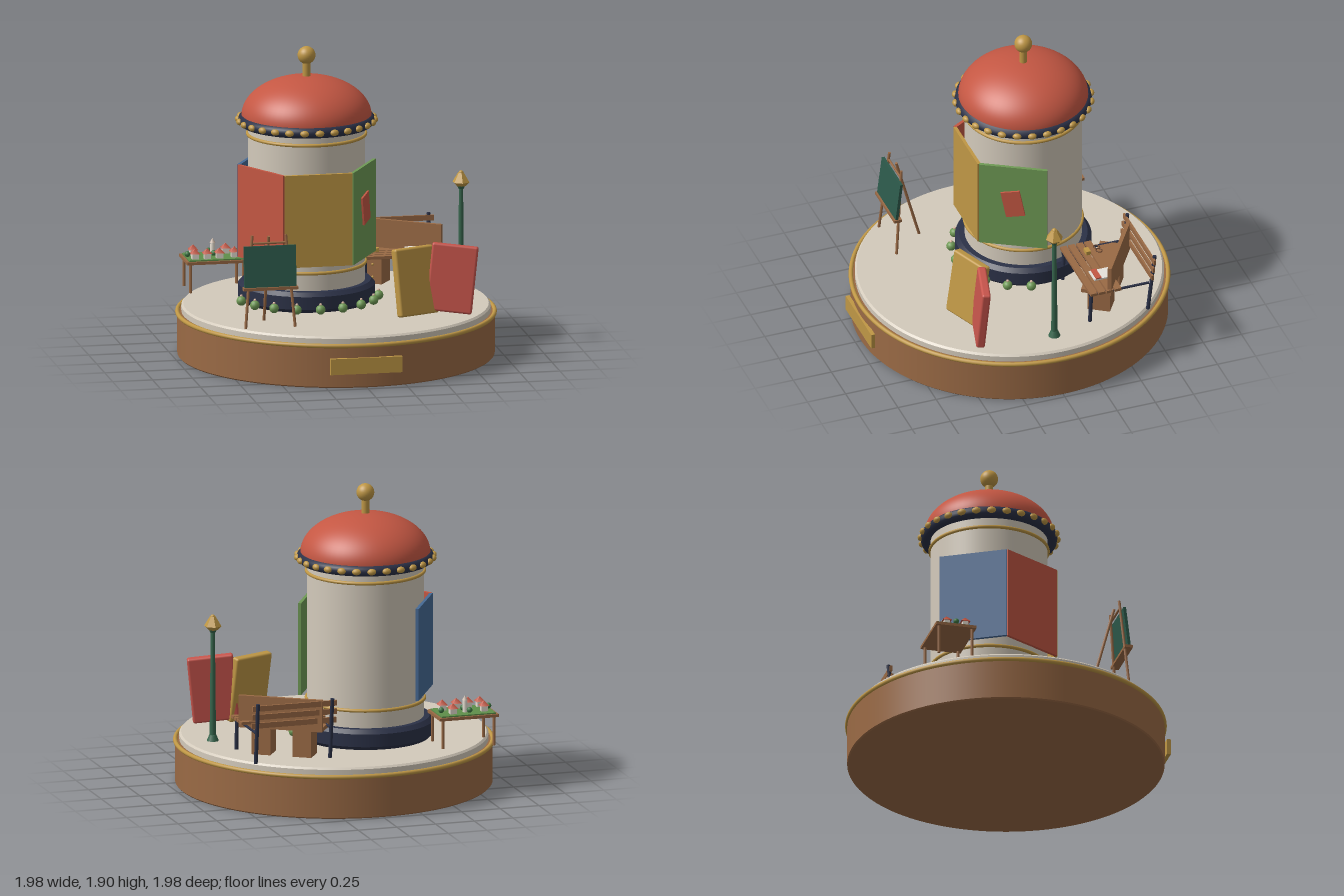
import * as THREE from 'three';
import { RoundedBoxGeometry } from 'three/addons/geometries/RoundedBoxGeometry.js';

const mats = {};
const mat = (c) => (mats[c] ??= new THREE.MeshStandardMaterial({ color: c }));
const WOOD = 0x9a6a45, CREAM = 0xd3cabb, GOLD = 0xbf9745, RED = 0xc45743, NAVY = 0x2b3147,
  GREEN = 0x6f9a55, POST = 0x37664d, SLATE = 0x2d5a4b, BLUE = 0x466a96;

function add(parent, name, geo, color, x = 0, y = 0, z = 0) {
  const m = new THREE.Mesh(geo, mat(color));
  m.name = name;
  m.position.set(x, y, z);
  parent.add(m);
  return m;
}
function group(parent, name, x = 0, y = 0, z = 0, yaw = 0) {
  const g = new THREE.Group();
  g.name = name;
  g.position.set(x, y, z);
  g.rotation.y = yaw;
  parent.add(g);
  return g;
}
const box = (w, h, d) => new THREE.BoxGeometry(w, h, d);
const cyl = (rt, rb, h, n = 64) => new THREE.CylinderGeometry(rt, rb, h, n);
const ball = (r, n = 16) => new THREE.SphereGeometry(r, n, Math.max(8, n / 2));

// Flat ring lying in the ground plane
function ring(parent, name, r, tube, color, y) {
  add(parent, name, new THREE.TorusGeometry(r, tube, 12, 96), color, 0, y, 0).rotation.x = Math.PI / 2;
}
// Round bar between two points
function rod(parent, name, a, b, r, color) {
  const A = new THREE.Vector3(...a), B = new THREE.Vector3(...b);
  const m = add(parent, name, cyl(r, r, A.distanceTo(B), 10), color);
  m.position.copy(A).add(B).multiplyScalar(0.5);
  m.quaternion.setFromUnitVectors(new THREE.Vector3(0, 1, 0), B.sub(A).normalize());
}
// Lathe profile whose straight runs stay crisp
function disc(parent, name, r, y0, y1, bevel, color) {
  const pts = [[0, y0], [r - bevel, y0], [r - bevel, y0], [r, y0 + bevel], [r, y0 + bevel],
    [r, y1 - bevel], [r, y1 - bevel], [r - bevel, y1], [r - bevel, y1], [0, y1]];
  add(parent, name, new THREE.LatheGeometry(pts.map((p) => new THREE.Vector2(...p)), 96), color);
}

function plinth(root) {
  const g = group(root, 'plinth', 0, 0, -0.01);
  disc(g, 'woodBase', 0.975, 0, 0.27, 0.008, WOOD);
  disc(g, 'floor', 0.95, 0.25, 0.317, 0.012, CREAM);
  ring(g, 'goldRim', 0.974, 0.014, GOLD, 0.265);
  add(g, 'plaque', box(0.45, 0.1, 0.025), GOLD, -0.005, 0.14, 0.975);
}

function tower(root) {
  const g = group(root, 'tower', -0.155, 0, -0.158);
  disc(g, 'foot', 0.42, 0.315, 0.445, 0.025, NAVY);
  add(g, 'column', cyl(0.36, 0.36, 1.02), CREAM, 0, 0.93, 0);
  ring(g, 'lowerBand', 0.362, 0.011, GOLD, 0.555);
  ring(g, 'upperBand', 0.362, 0.011, GOLD, 1.36);
  ring(g, 'cornice', 0.385, 0.036, NAVY, 1.447);
  add(g, 'dome', new THREE.SphereGeometry(0.4, 64, 24, 0, Math.PI * 2, 0, Math.PI / 2), RED, 0, 1.47, 0)
    .scale.y = 0.625;
  add(g, 'domeUnderside', cyl(0.395, 0.395, 0.01), NAVY, 0, 1.465, 0);
  add(g, 'finialStem', cyl(0.024, 0.024, 0.12, 24), GOLD, 0, 1.75, 0);
  add(g, 'finialBall', ball(0.055, 32), GOLD, 0, 1.85, 0);
  for (let i = 0; i < 28; i++) {
    const a = (i / 28) * Math.PI * 2;
    const b = add(g, 'bead', ball(0.02), GOLD, 0.42 * Math.sin(a), 1.447, 0.42 * Math.cos(a));
    b.rotation.y = a;
    b.scale.x = 1.4;
  }
  // Hexagonal run of panels around the shaft
  [[-120, BLUE], [-60, RED], [0, GOLD], [60, GREEN]].forEach(([deg, color]) => {
    const p = group(g, 'panel', 0, 0.89, 0, THREE.MathUtils.degToRad(deg));
    add(p, 'panelBoard', box(0.425, 0.58, 0.02), color, 0, 0, 0.368);
    if (deg === 60) add(p, 'panelCard', box(0.12, 0.18, 0.012), RED, 0, 0.025, 0.384).rotation.z = 0.2;
  });
  // Small round shrubs along the front of the foot
  for (let i = -4; i <= 4; i++) {
    const a = (i * 19 * Math.PI) / 180, x = 0.443 * Math.sin(a), z = 0.443 * Math.cos(a);
    add(g, 'shrub', ball(0.03), GREEN, x, 0.345, z);
    add(g, 'shrubTip', ball(0.009, 10), 0xd8b8a0, x, 0.377, z);
  }
}

function book(root, name, color, x, y, z, lean, yaw, roll, w) {
  const m = add(root, name, new RoundedBoxGeometry(w, 0.42, 0.055, 3, 0.014), color, x, y, z);
  m.rotation.set(lean, yaw, roll, 'YXZ');
}

function easel(root) {
  const g = group(root, 'easel', -0.53, 0, 0);
  for (const s of [-1, 1]) rod(g, 'frontLeg', [s * 0.155, 0.317, 0.59], [s * 0.105, 0.89, 0.54], 0.009, WOOD);
  rod(g, 'backLeg', [0, 0.317, 0.385], [0, 0.88, 0.535], 0.009, WOOD);
  rod(g, 'crossbar', [-0.115, 0.84, 0.543], [0.115, 0.84, 0.543], 0.007, WOOD);
  add(g, 'blackboard', box(0.325, 0.255, 0.018), SLATE, 0, 0.7, 0.575).rotation.x = -0.12;
  add(g, 'ledge', box(0.34, 0.018, 0.05), WOOD, 0, 0.565, 0.585);
}

function lamp(root) {
  const g = group(root, 'lampPost', 0.783, 0, -0.012);
  add(g, 'lampFoot', cyl(0.022, 0.038, 0.04, 16), POST, 0, 0.335, 0);
  add(g, 'lampPole', cyl(0.013, 0.02, 0.68, 16), POST, 0, 0.67, 0);
  add(g, 'lampCollar', cyl(0.026, 0.016, 0.02, 16), POST, 0, 1.01, 0);
  const flat = (n, geo, y) => add(g, n, geo.toNonIndexed(), GOLD, 0, y, 0).geometry.computeVertexNormals();
  flat('lanternBowl', cyl(0.054, 0.03, 0.025, 6), 1.03);
  flat('lanternCap', cyl(0.018, 0.055, 0.06, 6), 1.072);
  add(g, 'lanternTip', ball(0.015), GOLD, 0, 1.1, 0);
}

// Display table carrying a tiny village
function village(root) {
  const g = group(root, 'villageTable', -0.658, 0, -0.55);
  add(g, 'tableTop', box(0.38, 0.018, 0.255), WOOD, 0, 0.505, 0);
  add(g, 'lawn', box(0.35, 0.01, 0.225), 0x5f8f4a, 0, 0.517, 0);
  for (const x of [-0.165, 0.165]) for (const z of [-0.105, 0.105])
    add(g, 'tableLeg', cyl(0.009, 0.009, 0.185, 10), WOOD, x, 0.408, z);
  [[-0.12, -0.045], [0.085, -0.055], [-0.13, 0.07], [-0.055, 0.075], [0.022, 0.07], [0.118, 0.055]].forEach(([x, z]) => {
    add(g, 'cottage', box(0.042, 0.035, 0.036), 0xe6dfd2, x, 0.539, z);
    add(g, 'cottageRoof', cyl(0, 0.04, 0.032, 4), RED, x, 0.572, z).rotation.y = Math.PI / 4;
  });
  [[-0.02, -0.065], [-0.165, 0.005], [0.148, -0.018], [0, 0.005]].forEach(([x, z]) =>
    add(g, 'tree', ball(0.018, 12), 0x3f7a45, x, 0.54, z));
  add(g, 'spireTower', cyl(0.014, 0.017, 0.075, 12), 0xe6dfd2, 0, 0.56, -0.035);
  add(g, 'spire', cyl(0, 0.018, 0.03, 12), 0xc9b8aa, 0, 0.612, -0.035);
}

function bench(root) {
  const g = group(root, 'bench', 0.475, 0, 0);
  for (let i = 0; i < 4; i++) add(g, 'seatSlat', box(0.545, 0.018, 0.042), WOOD, 0, 0.527, -0.445 + i * 0.053);
  for (let i = 0; i < 3; i++) add(g, 'backSlat', box(0.545, 0.034, 0.014), WOOD, 0, 0.56 + i * 0.055, -0.67 - i * 0.007);
  for (const x of [-0.24, 0.24]) {
    rod(g, 'backPost', [x, 0.317, -0.65], [x, 0.7, -0.695], 0.012, NAVY);
    rod(g, 'seatLeg', [x, 0.317, -0.27], [x, 0.52, -0.28], 0.012, NAVY);
    rod(g, 'seatRail', [x, 0.51, -0.655], [x, 0.51, -0.265], 0.008, NAVY);
  }
}

function desk(root) {
  const g = group(root, 'desk', 0.47, 0, -0.465, -0.58);
  add(g, 'deskTop', box(0.53, 0.025, 0.19), WOOD, 0, 0.502, 0);
  add(g, 'deskBack', box(0.53, 0.18, 0.025), WOOD, 0, 0.602, -0.085);
  for (const x of [-0.13, 0.13]) {
    add(g, 'pedestal', box(0.12, 0.175, 0.14), WOOD, x, 0.405, 0);
    for (const y of [0.36, 0.44]) add(g, 'drawerKnob', ball(0.008, 10), GOLD, x, y, 0.072);
  }
  add(root, 'paper', box(0.1, 0.01, 0.13), 0xe6e2da, 0.57, 0.541, -0.4);
  add(root, 'redNotebook', box(0.1, 0.014, 0.035), RED, 0.57, 0.547, -0.365);
  add(root, 'brassWeight', box(0.05, 0.025, 0.03), GOLD, 0.32, 0.548, -0.4);
  for (const x of [0.285, 0.325])
    add(root, 'spectacleRim', new THREE.TorusGeometry(0.02, 0.003, 6, 20), 0x6b4630, x, 0.54, -0.475).rotation.x = 1.4;
}

export function createModel() {
  const root = new THREE.Group();
  root.name = 'carouselDisplay';
  plinth(root);
  tower(root);
  book(root, 'goldBook', GOLD, 0.41, 0.53, 0.415, -0.17, 0.38, 0, 0.28);
  book(root, 'redBook', 0xc8554c, 0.642, 0.537, 0.415, -0.08, -0.24, -0.1, 0.285);
  easel(root);
  lamp(root);
  village(root);
  bench(root);
  desk(root);
  return root;
}
